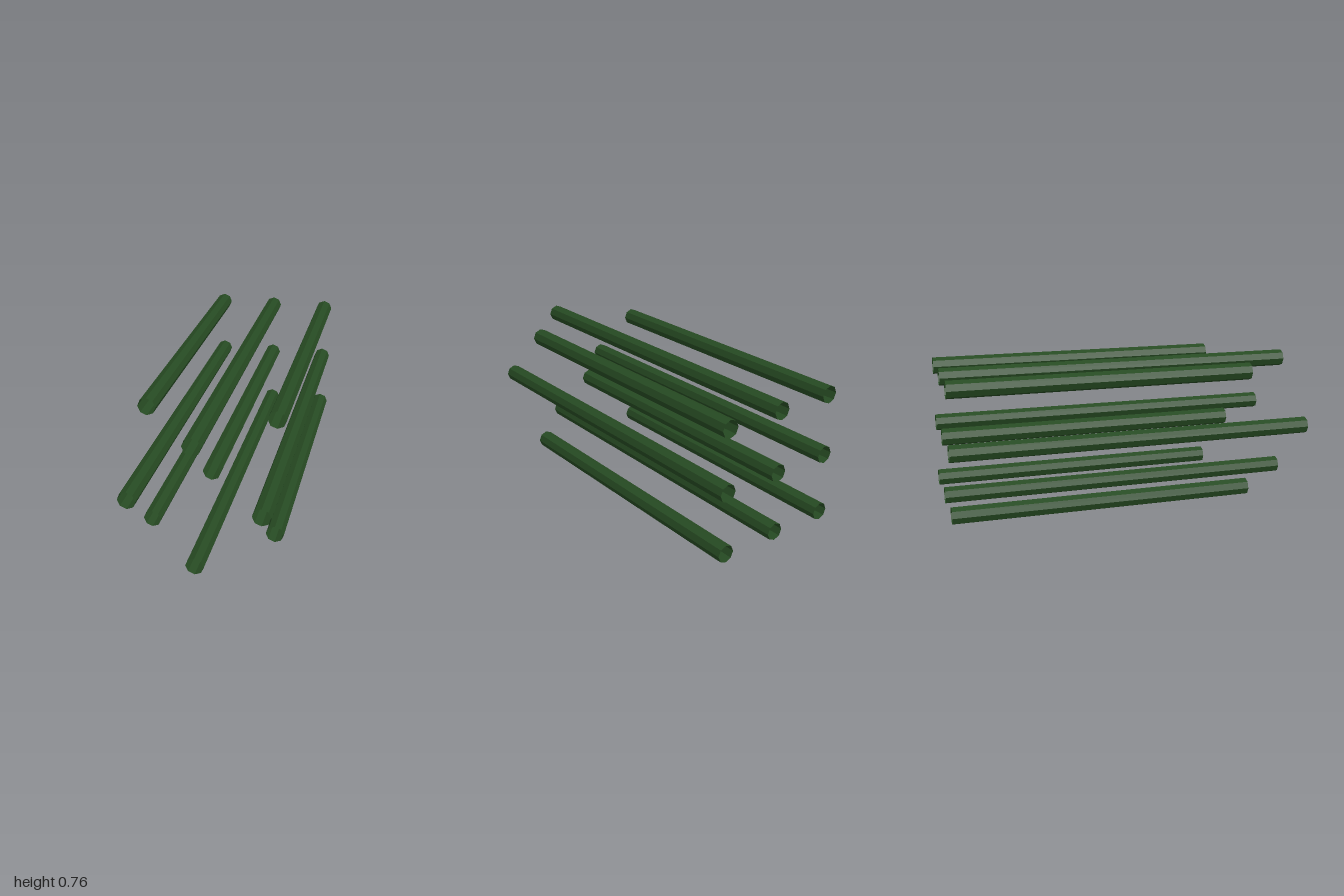
import * as THREE from 'three';

const RADIUS = 0.047;   // tube radius
const SPACING = 0.331;  // distance between neighbouring tubes
const BACK = -1;        // all tubes start here
const LONG_END = 1;
const SHORT_END = 0.645;

// Open eight-sided tube lying along z
function tubeGeometry(zStart, zEnd) {
  const geometry = new THREE.CylinderGeometry(RADIUS, RADIUS, zEnd - zStart, 8, 1, true);
  geometry.rotateX(Math.PI / 2);
  geometry.translate(0, 0, (zStart + zEnd) / 2);
  return geometry;
}

export function createModel() {
  const group = new THREE.Group();
  group.name = 'tubeCluster';

  const green = new THREE.MeshStandardMaterial({
    color: 0x264a22, flatShading: true, side: THREE.DoubleSide,
  });
  const longTube = tubeGeometry(BACK, LONG_END);
  const shortTube = tubeGeometry(BACK, SHORT_END);

  // 3 x 3 grid, long and short tubes alternating like a checkerboard
  for (let row = 0; row < 3; row++) {
    for (let col = 0; col < 3; col++) {
      const isShort = (row + col) % 2 === 0;
      const tube = new THREE.Mesh(isShort ? shortTube : longTube, green);
      tube.name = isShort ? 'shortTube' : 'longTube';
      tube.position.set((col - 1) * SPACING, RADIUS + row * SPACING, 0);
      group.add(tube);
    }
  }
  return group;
}
